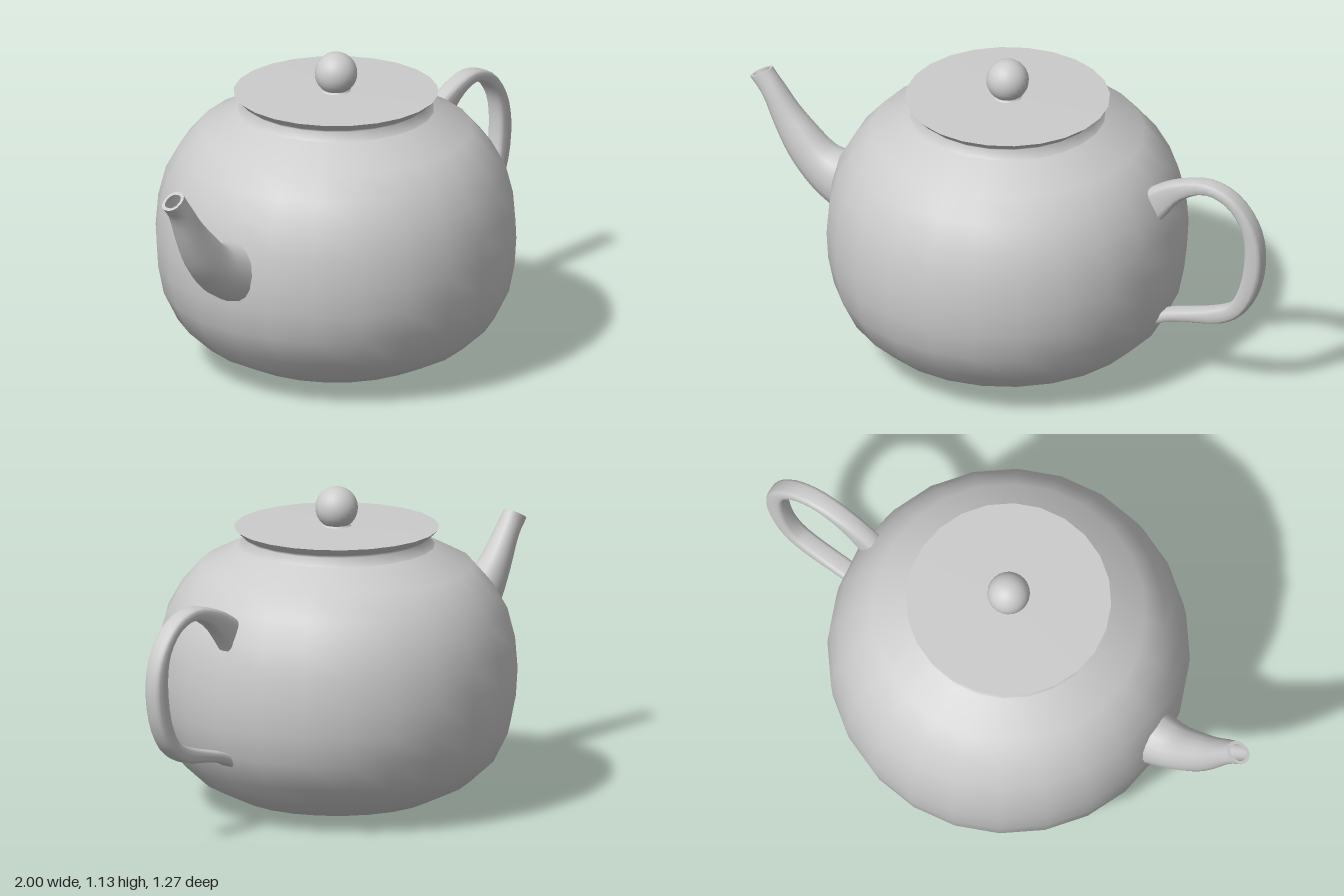
import * as THREE from 'three';

const material = new THREE.MeshStandardMaterial({ color: 0xcccccc, side: THREE.DoubleSide });
const SEGMENTS = 24;

function lathe(name, profile, segments = SEGMENTS) {
  const points = profile.map(([r, y]) => new THREE.Vector2(r, y));
  const mesh = new THREE.Mesh(new THREE.LatheGeometry(points, segments), material);
  mesh.name = name;
  return mesh;
}

// Smooth curve through [x, y] points, sampled evenly by parameter
function sample(points, steps) {
  const curve = new THREE.CatmullRomCurve3(points.map(([x, y]) => new THREE.Vector3(x, y, 0)));
  return curve.getPoints(steps);
}

// Sections run between two edge curves in the xy plane; widths are half depths in z.
// power 1 gives an ellipse, smaller values a rounded rectangle.
function makeSections(edgeA, edgeB, widthAt, steps) {
  const a = sample(edgeA, steps), b = sample(edgeB, steps);
  return a.map((p, i) => ({
    centre: p.clone().add(b[i]).multiplyScalar(0.5),
    up: p.clone().sub(b[i]).multiplyScalar(0.5),
    width: widthAt(i / steps),
  }));
}

function loft(name, sections, sides, power) {
  const positions = [], indices = [];
  const bend = (v) => Math.sign(v) * Math.abs(v) ** power;
  sections.forEach(({ centre, up, width }, i) => {
    for (let j = 0; j < sides; j++) {
      const t = (j / sides) * Math.PI * 2;
      const p = centre.clone().addScaledVector(up, bend(Math.cos(t)));
      positions.push(p.x, p.y, bend(Math.sin(t)) * width);
      if (i === sections.length - 1) continue;
      const k = (j + 1) % sides, row = i * sides, next = row + sides;
      indices.push(row + j, row + k, next + j, row + k, next + k, next + j);
    }
  });
  const geometry = new THREE.BufferGeometry();
  geometry.setAttribute('position', new THREE.Float32BufferAttribute(positions, 3));
  geometry.setIndex(indices);
  geometry.computeVertexNormals();
  const mesh = new THREE.Mesh(geometry, material);
  mesh.name = name;
  return mesh;
}

function makeSpout() {
  const lower = [[-0.58, 0.38], [-0.64, 0.395], [-0.74, 0.455], [-0.835, 0.555], [-0.9, 0.67], [-0.953, 0.785], [-1, 0.837]];
  const upper = [[-0.58, 0.61], [-0.63, 0.612], [-0.69, 0.628], [-0.765, 0.695], [-0.82, 0.75], [-0.875, 0.82], [-0.92, 0.882]];
  const sections = makeSections(lower, upper, (t) => 0.036 + 0.069 * (1 - t) ** 1.3, 18);
  const scaled = (s, k) => ({ centre: s.centre, up: s.up.clone().multiplyScalar(k), width: s.width * k });
  // Lip and hollow throat; doubled rings keep the lip edges sharp
  const tip = sections[18], throat = sections[14];
  sections.push(scaled(tip, 1), scaled(tip, 0.72), scaled(tip, 0.72), scaled(throat, 0.6), scaled(throat, 0));
  return loft('spout', sections, 16, 0.9);
}

function makeHandle() {
  const outer = [[0.53, 0.742], [0.58, 0.777], [0.66, 0.815], [0.785, 0.84], [0.89, 0.805], [0.97, 0.71], [1, 0.6],
    [0.983, 0.46], [0.925, 0.35], [0.84, 0.294], [0.705, 0.27], [0.63, 0.252], [0.575, 0.225]];
  const inner = [[0.585, 0.62], [0.625, 0.675], [0.695, 0.755], [0.785, 0.795], [0.862, 0.77], [0.917, 0.7], [0.932, 0.6],
    [0.912, 0.46], [0.872, 0.38], [0.82, 0.35], [0.715, 0.317], [0.64, 0.298], [0.575, 0.272]];
  return loft('handle', makeSections(outer, inner, () => 0.035, 36), 16, 0.6);
}

export function createModel() {
  const group = new THREE.Group();
  group.name = 'teapot';

  group.add(lathe('body', [
    [0, 0], [0.18, 0.008], [0.35, 0.03], [0.475, 0.09], [0.56, 0.168], [0.61, 0.27], [0.63, 0.37],
    [0.636, 0.47], [0.627, 0.58], [0.6, 0.685], [0.55, 0.775], [0.48, 0.855], [0.345, 0.925], [0.318, 0.95],
  ]));

  // Flared rim and flat lid
  group.add(lathe('rim', [[0.345, 0.925], [0.32, 0.953], [0.335, 0.965], [0.36, 0.99]]));
  group.add(lathe('lid', [[0.36, 0.99], [0.18, 0.992], [0, 0.994]]));

  // Round knob on a small flared foot
  group.add(lathe('knobFoot', [[0.056, 0.99], [0.044, 1.0], [0.04, 1.012], [0.046, 1.025]]));
  const knob = new THREE.Mesh(new THREE.SphereGeometry(0.075, SEGMENTS, 16), material);
  knob.name = 'knob';
  knob.position.y = 1.058;
  group.add(knob);

  group.add(makeSpout(), makeHandle());
  return group;
}
